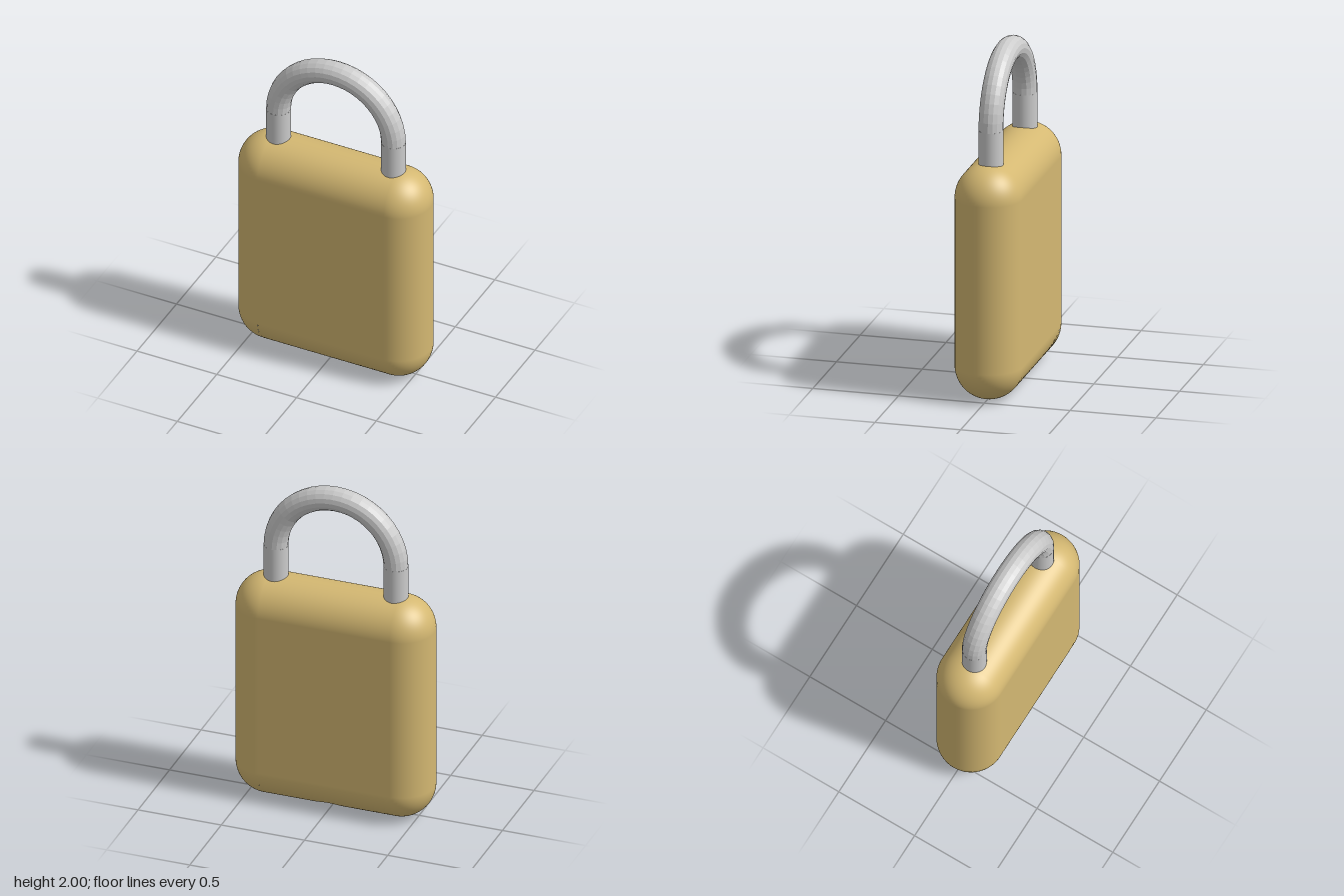
import * as THREE from 'three';
import { RoundedBoxGeometry } from 'three/addons/geometries/RoundedBoxGeometry.js';

const W = 1.18, H = 1.38, R = 0.195;   // body width, height, edge radius (half the depth)
const FLAT = W / 2 - R;                // half length of the straight bottom edge
const HOLE = 0.13, HOLE_TOP = 0.32;    // keyhole radius and depth
const LEG_X = 0.36, ROD = 0.07, ARC_Y = 1.57;

// Smooth surface from a grid; point(u, v) returns { p: [x, y, z], n: [x, y, z] }
function gridGeometry(nu, nv, point) {
  const pos = [], nor = [], idx = [];
  for (let i = 0; i <= nu; i++) {
    for (let j = 0; j <= nv; j++) {
      const { p, n } = point(i / nu, j / nv);
      pos.push(...p);
      nor.push(...n);
      if (i < nu && j < nv) {
        const a = i * (nv + 1) + j, b = a + nv + 1;
        idx.push(a, b, b + 1, a, b + 1, a + 1);
      }
    }
  }
  const g = new THREE.BufferGeometry();
  g.setAttribute('position', new THREE.Float32BufferAttribute(pos, 3));
  g.setAttribute('normal', new THREE.Float32BufferAttribute(nor, 3));
  g.setIndex(idx);
  return g;
}

// Rounded block without its half-round bottom edge
function shellGeometry() {
  const src = new RoundedBoxGeometry(W, H, 2 * R, 10, R).translate(0, H / 2, 0);
  const p = src.attributes.position, n = src.attributes.normal;
  const pos = [], nor = [];
  for (let i = 0; i < p.count; i += 3) {
    const tri = [i, i + 1, i + 2];
    if (tri.every(k => p.getY(k) < R + 1e-4 && Math.abs(p.getX(k)) < FLAT + 1e-4)) continue;
    for (const k of tri) {
      pos.push(p.getX(k), p.getY(k), p.getZ(k));
      nor.push(n.getX(k), n.getY(k), n.getZ(k));
    }
  }
  const g = new THREE.BufferGeometry();
  g.setAttribute('position', new THREE.Float32BufferAttribute(pos, 3));
  g.setAttribute('normal', new THREE.Float32BufferAttribute(nor, 3));
  return g;
}

// Half-round bottom edge, running from the round keyhole rim out to its straight borders
function bottomEdgePoint(u, v) {
  const t = v * Math.PI * 2, c = Math.cos(t), s = Math.sin(t);
  const m = Math.max(Math.abs(c), Math.abs(s));
  const x = THREE.MathUtils.lerp(HOLE * c, FLAT * c / m, u);
  const a = THREE.MathUtils.lerp(Math.asin(HOLE * s / R), Math.PI / 2 * s / m, u);
  return {
    p: [x, R - R * Math.cos(a), R * Math.sin(a)],
    n: [0, -Math.cos(a), Math.sin(a)],
  };
}

// Keyhole wall, from its ceiling down to the rim
function keyholePoint(u, v) {
  const t = v * Math.PI * 2, c = Math.cos(t), s = Math.sin(t);
  const rim = R - Math.sqrt(R * R - (HOLE * s) ** 2);
  return {
    p: [HOLE * c, THREE.MathUtils.lerp(HOLE_TOP, rim, u), HOLE * s],
    n: [-c, 0, -s],
  };
}

export function createModel() {
  const model = new THREE.Group();
  model.name = 'padlock';
  const brass = new THREE.MeshStandardMaterial({ color: 0xd4b872 });
  const steel = new THREE.MeshStandardMaterial({ color: 0xcccccc });
  const facetedSteel = new THREE.MeshStandardMaterial({ color: 0xcccccc, flatShading: true });

  const add = (parent, name, geometry, material) => {
    const mesh = new THREE.Mesh(geometry, material);
    mesh.name = name;
    parent.add(mesh);
    return mesh;
  };

  // Body with the keyhole in its underside
  const body = new THREE.Group();
  body.name = 'body';
  add(body, 'bodyShell', shellGeometry(), brass);
  add(body, 'bottomEdge', gridGeometry(10, 96, bottomEdgePoint), brass);
  add(body, 'keyholeWall', gridGeometry(1, 96, keyholePoint), brass);
  add(body, 'keyholeCeiling', new THREE.CircleGeometry(HOLE, 96).rotateX(Math.PI / 2), brass)
    .position.y = HOLE_TOP;

  // Shackle: half ring on two straight legs that sink into the body
  const shackle = new THREE.Group();
  shackle.name = 'shackle';
  add(shackle, 'shackleBow', new THREE.TorusGeometry(LEG_X, ROD, 16, 24, Math.PI), facetedSteel)
    .position.y = ARC_Y;
  const legBottom = 1.25;
  for (const [name, side] of [['leftLeg', 1], ['rightLeg', -1]]) {
    const leg = new THREE.CylinderGeometry(ROD, ROD, ARC_Y - legBottom, 32);
    add(shackle, name, leg, steel).position.set(side * LEG_X, (ARC_Y + legBottom) / 2, 0);
  }

  model.add(body, shackle);
  return model;
}
